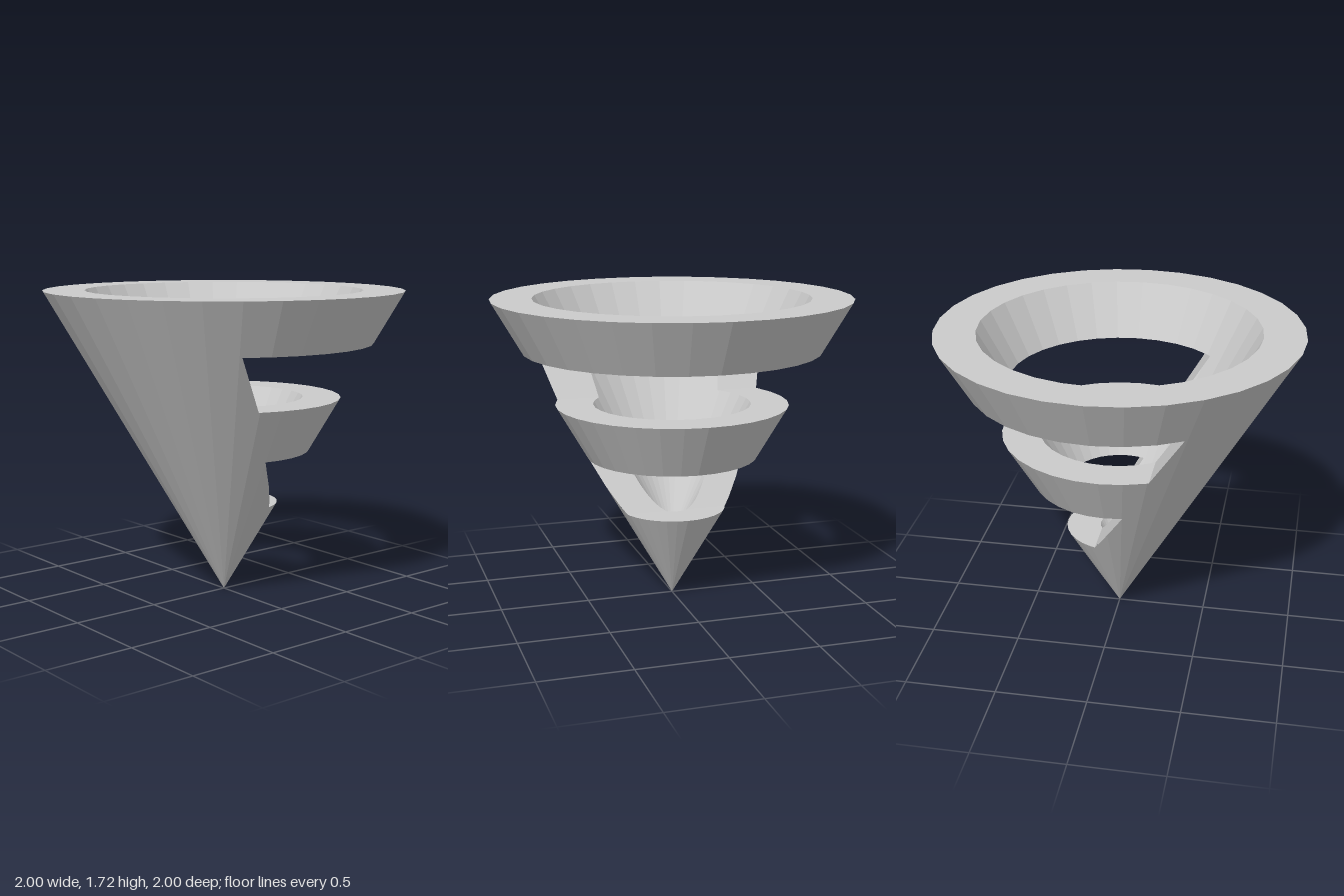
import * as THREE from 'three';

const N = 32, H = 1.72;
const outer = y => y / H;               // outer cone radius
const inner = y => (y - 0.32) * 0.55;   // hollow cone radius

// Slots: bottom and top height, and x of the slanted back wall at each
const slots = [
  { y0: 0.52, y1: 0.825, x0: 0.091, x1: -0.096 },
  { y0: 1.125, y1: 1.43, x0: -0.257, x1: -0.449 },
];
const wallX = (s, y) => s.x0 + (s.x1 - s.x0) * (y - s.y0) / (s.y1 - s.y0);

const ringPoint = (i, r, y) => {
  const t = i / N * Math.PI * 2;
  return new THREE.Vector3(r * Math.cos(t), y, r * Math.sin(t));
};

// Keep the part of a convex polygon where d(p) >= 0
function clip(poly, d) {
  const out = [];
  poly.forEach((p, i) => {
    const q = poly[(i + 1) % poly.length], a = d(p), b = d(q);
    if (a >= 0) out.push(p);
    if (a * b < 0) out.push(p.clone().lerp(q, a / (a - b)));
  });
  return out;
}

function addPolygon(tris, poly) {
  for (let i = 1; i + 1 < poly.length; i++) tris.push(poly[0], poly[i], poly[i + 1]);
}

// Faceted band turned around y between profile points [r, y], optionally clipped
function band(tris, [ra, ya], [rb, yb], keep) {
  for (let i = 0; i < N; i++) {
    const quad = [ringPoint(i, ra, ya), ringPoint(i, rb, yb),
      ringPoint(i + 1, rb, yb), ringPoint(i + 1, ra, ya)];
    addPolygon(tris, keep ? clip(quad, keep) : quad);
  }
}

// Half width in z of the faceted ring of radius r where it crosses x
function halfWidth(r, x) {
  for (let i = 0; i < N / 2; i++) {
    const a = ringPoint(i, r, 0), b = ringPoint(i + 1, r, 0);
    if (a.x >= x && b.x <= x) return a.lerp(b, (a.x - x) / (a.x - b.x)).z;
  }
  return 0;
}

function makeMesh(name, tris) {
  const geometry = new THREE.BufferGeometry().setFromPoints(tris);
  geometry.computeVertexNormals();
  const mesh = new THREE.Mesh(geometry,
    new THREE.MeshStandardMaterial({ color: 0xcccccc, flatShading: true }));
  mesh.name = name;
  return mesh;
}

export function createModel() {
  const group = new THREE.Group();
  group.name = 'slottedCone';
  const [low, high] = slots;
  const O = y => [outer(y), y], I = y => [inner(y), y];
  const open = s => p => p.x - wallX(s, p.y);
  const solid = s => p => wallX(s, p.y) - p.x;

  // Pointed tip with a small hollow, its rim open only under the slot
  const tip = [];
  band(tip, [0, 0], O(low.y0));
  band(tip, O(low.y0), I(low.y0), open(low));
  band(tip, I(low.y0), [0, 0.32]);
  group.add(makeMesh('coneTip', tip));

  // Ring between the two slots
  const middle = [];
  band(middle, I(low.y1), O(low.y1), open(low));
  band(middle, O(low.y1), O(high.y0));
  band(middle, O(high.y0), I(high.y0), open(high));
  band(middle, I(high.y0), I(low.y1));
  group.add(makeMesh('middleRing', middle));

  // Top ring with a full flat rim
  const top = [];
  band(top, I(high.y1), O(high.y1), open(high));
  band(top, O(high.y1), O(H));
  band(top, O(H), I(H));
  band(top, I(H), I(high.y1));
  group.add(makeMesh('topRing', top));

  // Curved spine pieces joining the rings, with slanted cut faces
  slots.forEach((s, k) => {
    const spine = [], rows = 12;
    band(spine, O(s.y0), O(s.y1), solid(s));
    band(spine, I(s.y1), I(s.y0), solid(s));
    const row = (j, side) => {
      const y = s.y0 + (s.y1 - s.y0) * j / rows, x = wallX(s, y);
      return [inner(y), outer(y)]
        .map(r => new THREE.Vector3(x, y, side * halfWidth(r, x)))
        .sort((a, b) => a.z - b.z);
    };
    for (const side of [1, -1]) for (let j = 0; j < rows; j++) {
      const a = row(j, side), b = row(j + 1, side);
      addPolygon(spine, [a[0], b[0], b[1], a[1]]);
    }
    group.add(makeMesh(k ? 'upperSpine' : 'lowerSpine', spine));
  });
  return group;
}
